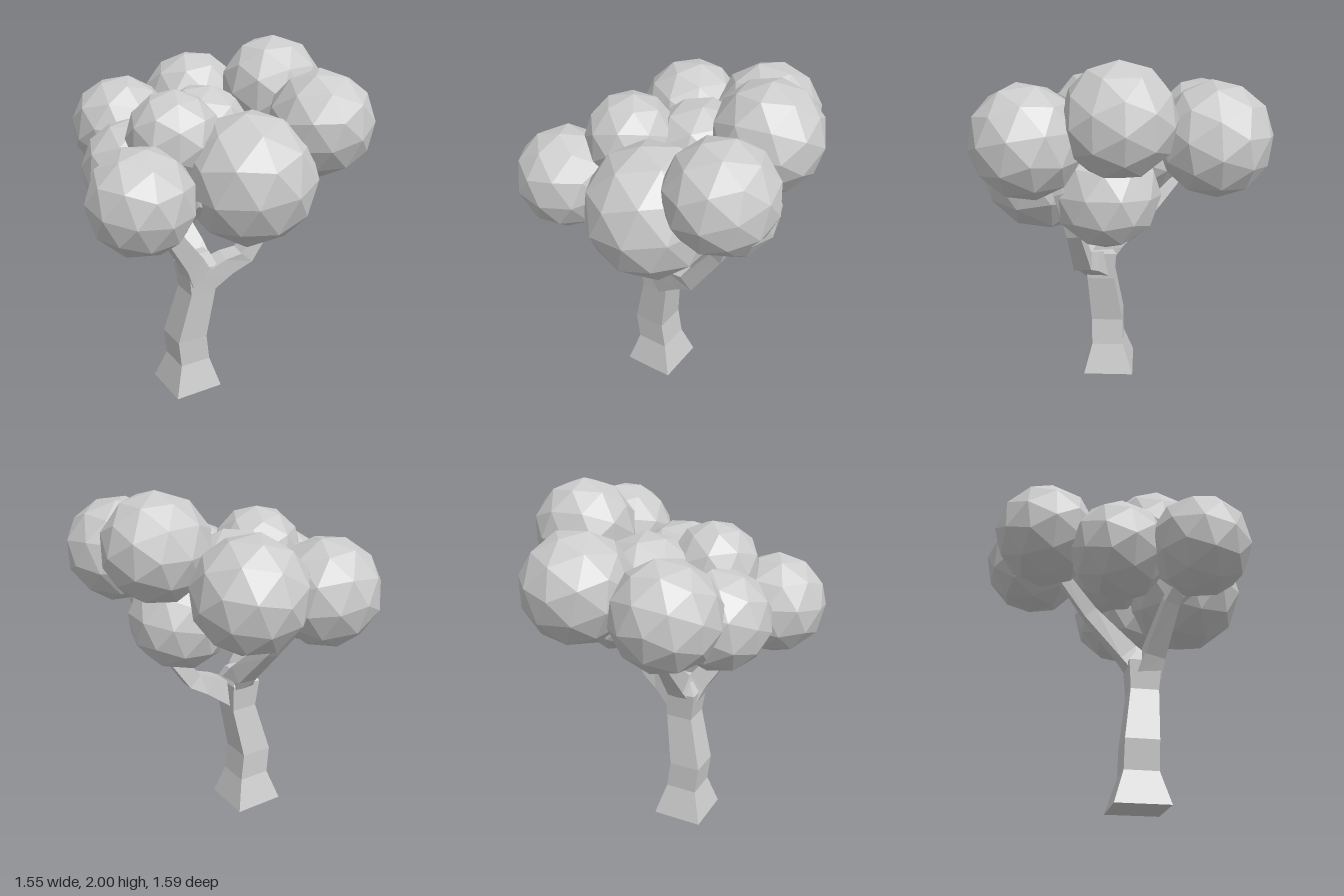
import * as THREE from 'three';

const material = new THREE.MeshStandardMaterial({ color: 0xcccccc, flatShading: true });
const TWIST = 0.135;

// Square-section limb through rows of [x, y, z, half width]; level keeps the rings horizontal
function limb(name, rows, level = false) {
  const points = rows.map(([x, y, z]) => new THREE.Vector3(x, y, z));
  const corners = [[1, 1], [1, -1], [-1, -1], [-1, 1]];
  const rings = points.map((p, i) => {
    const t = level
      ? new THREE.Vector3(0, 1, 0)
      : points[Math.min(i + 1, points.length - 1)].clone().sub(points[Math.max(i - 1, 0)]).normalize();
    const u = new THREE.Vector3(Math.cos(TWIST), 0, Math.sin(TWIST));
    u.addScaledVector(t, -t.dot(u)).normalize();
    const v = u.clone().cross(t);
    const h = rows[i][3];
    return corners.map(([a, b]) => p.clone().addScaledVector(u, a * h).addScaledVector(v, b * h));
  });
  const vertices = [];
  const quad = (a, b, c, d) => vertices.push(a, b, c, a, c, d);
  for (let i = 0; i < rings.length - 1; i++) {
    for (let k = 0; k < 4; k++) {
      const n = (k + 1) % 4;
      quad(rings[i][k], rings[i][n], rings[i + 1][n], rings[i + 1][k]);
    }
  }
  quad(...rings[rings.length - 1]);
  quad(...[...rings[0]].reverse());
  const geometry = new THREE.BufferGeometry().setFromPoints(vertices);
  geometry.computeVertexNormals();
  const mesh = new THREE.Mesh(geometry, material);
  mesh.name = name;
  return mesh;
}

export function createModel() {
  const tree = new THREE.Group();
  tree.name = 'tree';

  // Bent trunk with a flared foot
  tree.add(limb('trunk', [
    [0.055, 0, 0.085, 0.147],
    [0.06, 0.18, 0.085, 0.093],
    [0.06, 0.34, 0.105, 0.092],
    [0.1, 0.64, 0.05, 0.078],
    [0.1, 0.8, 0.06, 0.09],
    [0.11, 0.88, 0.05, 0.045],
  ], true));

  // Branches reaching into the crown
  tree.add(limb('leftBranch', [
    [0.11, 0.76, 0.05, 0.07], [0.02, 0.87, 0.03, 0.056],
    [-0.2, 1.09, 0.03, 0.04], [-0.4, 1.32, 0.06, 0.03],
  ]));
  tree.add(limb('frontBranch', [
    [0.12, 0.74, 0.07, 0.07], [0.14, 0.85, 0.13, 0.058],
    [0.18, 1.09, 0.31, 0.042], [0.25, 1.3, 0.48, 0.03],
  ]));
  tree.add(limb('frontTwig', [
    [0.18, 1.08, 0.3, 0.03], [0.4, 1.3, 0.25, 0.028], [0.42, 1.4, 0.2, 0.02],
  ]));
  tree.add(limb('backBranch', [
    [0.12, 0.7, 0.04, 0.07], [0.18, 0.79, -0.1, 0.055], [0.22, 0.83, -0.19, 0.048],
    [0.27, 1.09, -0.37, 0.035], [0.34, 1.35, -0.46, 0.028], [0.42, 1.55, -0.46, 0.02],
  ]));

  // Faceted leaf clumps: x, y, z, radius
  const clumps = [
    [0.05, 1.715, -0.515, 0.285],
    [0.49, 1.61, -0.46, 0.283],
    [-0.45, 1.56, -0.34, 0.297],
    [-0.49, 1.48, 0.14, 0.288],
    [0.1, 1.29, -0.35, 0.28],
    [-0.06, 1.48, -0.11, 0.285],
    [0.11, 1.56, 0.21, 0.25],
    [-0.12, 1.35, 0.31, 0.28],
    [0.27, 1.335, 0.525, 0.28],
    [0.4, 1.365, -0.06, 0.355],
  ];
  const crown = new THREE.Group();
  crown.name = 'crown';
  clumps.forEach(([x, y, z, r], i) => {
    const clump = new THREE.Mesh(new THREE.IcosahedronGeometry(r, 1), material);
    clump.name = 'leafClump' + (i + 1);
    clump.position.set(x, y, z);
    clump.rotation.set(i * 1.3, i * 2.1, i * 0.7);
    crown.add(clump);
  });
  tree.add(crown);
  return tree;
}
